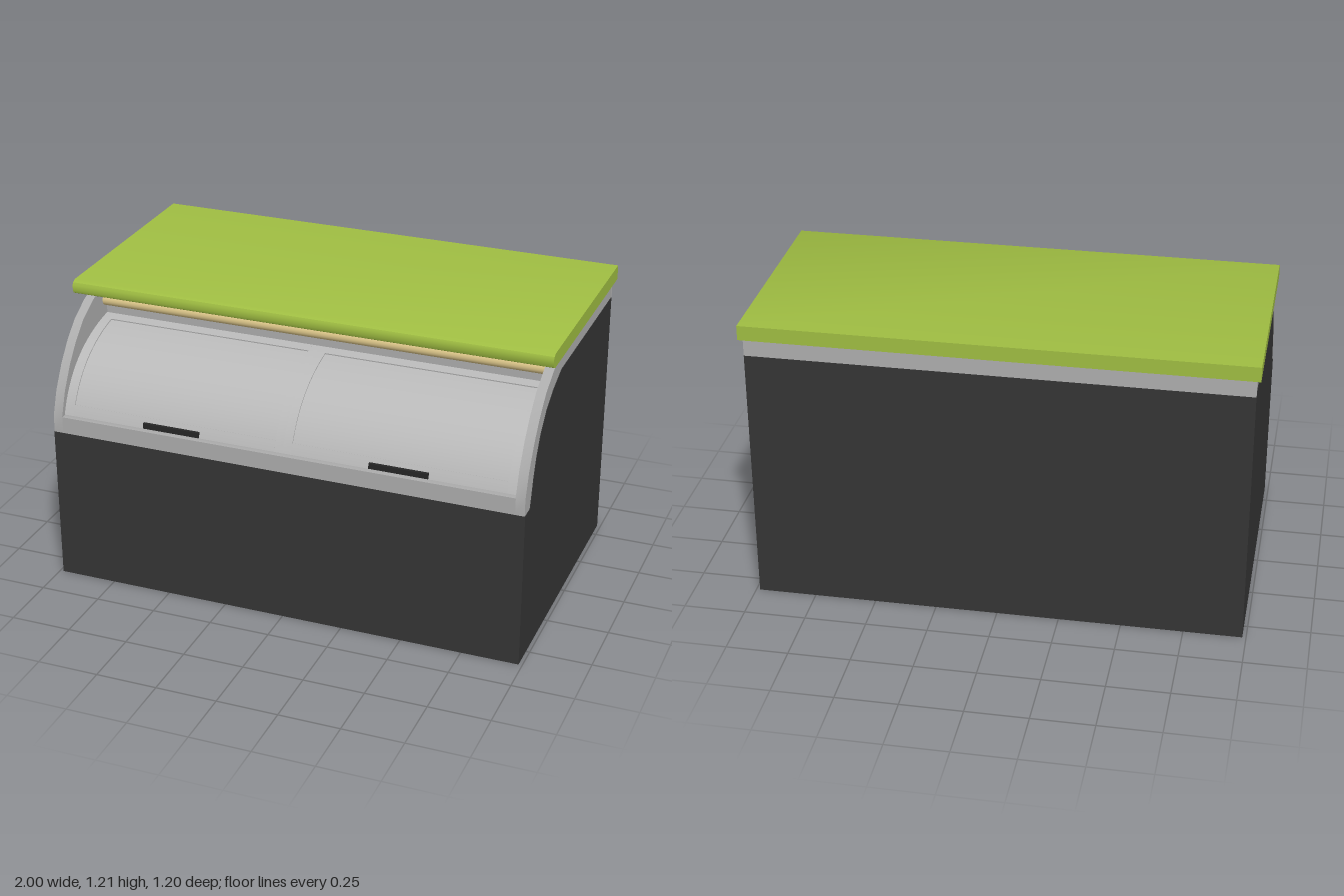
import * as THREE from 'three';
import { toCreasedNormals } from 'three/addons/utils/BufferGeometryUtils.js';

const material = (name, color) => {
  const m = new THREE.MeshStandardMaterial({ color });
  m.name = name;
  return m;
};

export function createModel() {
  const group = new THREE.Group();
  const dark = material('charcoal', 0x353535);
  const grey = material('frameGrey', 0xadadad);
  const doorGrey = material('doorGrey', 0xb9b9b9);
  const green = material('green', 0x9fbd42);
  const tan = material('lampTan', 0xdcc68a);
  const black = material('handleBlack', 0x262626);

  const add = (name, geometry, mat, parent = group) => {
    const mesh = new THREE.Mesh(geometry, mat);
    mesh.name = name;
    parent.add(mesh);
    return mesh;
  };
  const box = (name, mat, x0, x1, y0, y1, z0, z1, parent) => {
    const mesh = add(name, new THREE.BoxGeometry(x1 - x0, y1 - y0, z1 - z0), mat, parent);
    mesh.position.set((x0 + x1) / 2, (y0 + y1) / 2, (z0 + z1) / 2);
    return mesh;
  };
  // Extrudes a [z, y] side profile from x0 to x1
  const profile = (name, mat, points, x0, x1, parent) => {
    const shape = new THREE.Shape(points.map(([z, y]) => new THREE.Vector2(z, y)));
    const geometry = new THREE.ExtrudeGeometry(shape, { depth: x1 - x0, bevelEnabled: false });
    geometry.rotateY(-Math.PI / 2).translate(x1, 0, 0);
    return add(name, toCreasedNormals(geometry, 0.6), mat, parent);
  };

  // Curve followed by the sliding doors, offset along its normal
  const doorCurve = new THREE.QuadraticBezierCurve(
    new THREE.Vector2(0.572, 0.72), new THREE.Vector2(0.49, 0.96), new THREE.Vector2(0.17, 1.0));
  const along = (offset, t0 = 0, t1 = 1) => Array.from({ length: 17 }, (_, i) => {
    const t = t0 + (t1 - t0) * i / 16;
    const p = doorCurve.getPoint(t), d = doorCurve.getTangent(t);
    return [p.x + d.y * offset, p.y - d.x * offset];
  });
  const curvedPanel = (name, mat, x0, x1, t0, t1, thickness, parent) =>
    profile(name, mat, [...along(thickness, t0, t1), ...along(-0.01, t0, t1).reverse()], x0, x1, parent);

  // Cabinet base and inner core
  box('cabinetBase', dark, -0.985, 0.985, 0, 0.65, -0.58, 0.6);
  profile('cabinetCore', grey, [[-0.578, 0.65], [0.6, 0.65], [0.6, 0.72], [0.572, 0.72],
    ...along(-0.004), [0.17, 1.145], [-0.578, 1.145]], -0.946, 0.946);
  box('backPanel', dark, -0.985, 0.985, 0.65, 1.07, -0.58, -0.575);
  box('backRail', grey, -0.985, 0.985, 1.07, 1.145, -0.58, -0.575);

  // Curved end walls with dark outer panels
  const wall = [[-0.577, 0.65], [0.6, 0.65], [0.6, 0.72], [0.565, 0.82], [0.51, 0.915], [0.45, 0.99],
    [0.38, 1.055], [0.29, 1.105], [0.17, 1.145], [-0.577, 1.145]];
  const panel = [[-0.58, 0.65], [0.535, 0.65], [0.52, 0.7], [0.505, 0.76], [0.475, 0.84], [0.43, 0.915],
    [0.36, 0.985], [0.28, 1.03], [0.17, 1.07], [-0.58, 1.07]];
  for (const [side, s] of [['left', 1], ['right', -1]]) {
    const span = (a, b) => s > 0 ? [a, b] : [-b, -a];
    profile(side + 'EndWall', grey, wall, ...span(0.945, 0.983));
    profile(side + 'EndPanel', dark, panel, ...span(0.982, 0.985));

    // Sliding door: pane, raised frame and handle
    const door = new THREE.Group();
    door.name = side + 'Door';
    group.add(door);
    curvedPanel('pane', doorGrey, ...span(0, 0.945), 0, 1, 0.001, door);
    curvedPanel('outerStile', doorGrey, ...span(0.905, 0.945), 0, 1, 0.006, door);
    curvedPanel('innerStile', doorGrey, ...span(0, 0.035), 0, 1, 0.006, door);
    curvedPanel('bottomRail', doorGrey, ...span(0.035, 0.905), 0, 0.09, 0.006, door);
    curvedPanel('topRail', doorGrey, ...span(0.035, 0.905), 0.93, 1, 0.006, door);
    box('handle', black, ...span(0.355, 0.595), 0.724, 0.746, 0.56, 0.582, door);
  }

  // Lamp tube under the worktop
  const lamp = add('lampTube', new THREE.CylinderGeometry(0.026, 0.026, 1.89, 20), tan);
  lamp.rotation.z = Math.PI / 2;
  lamp.position.set(0, 1.07, 0.18);

  // Worktop with rounded front edge
  profile('worktop', green, [[-0.6, 1.145], [0.33, 1.145], [0.345, 1.153], [0.35, 1.165], [0.35, 1.186],
    [0.345, 1.197], [0.33, 1.205], [-0.6, 1.205]], -1, 1);

  return group;
}
